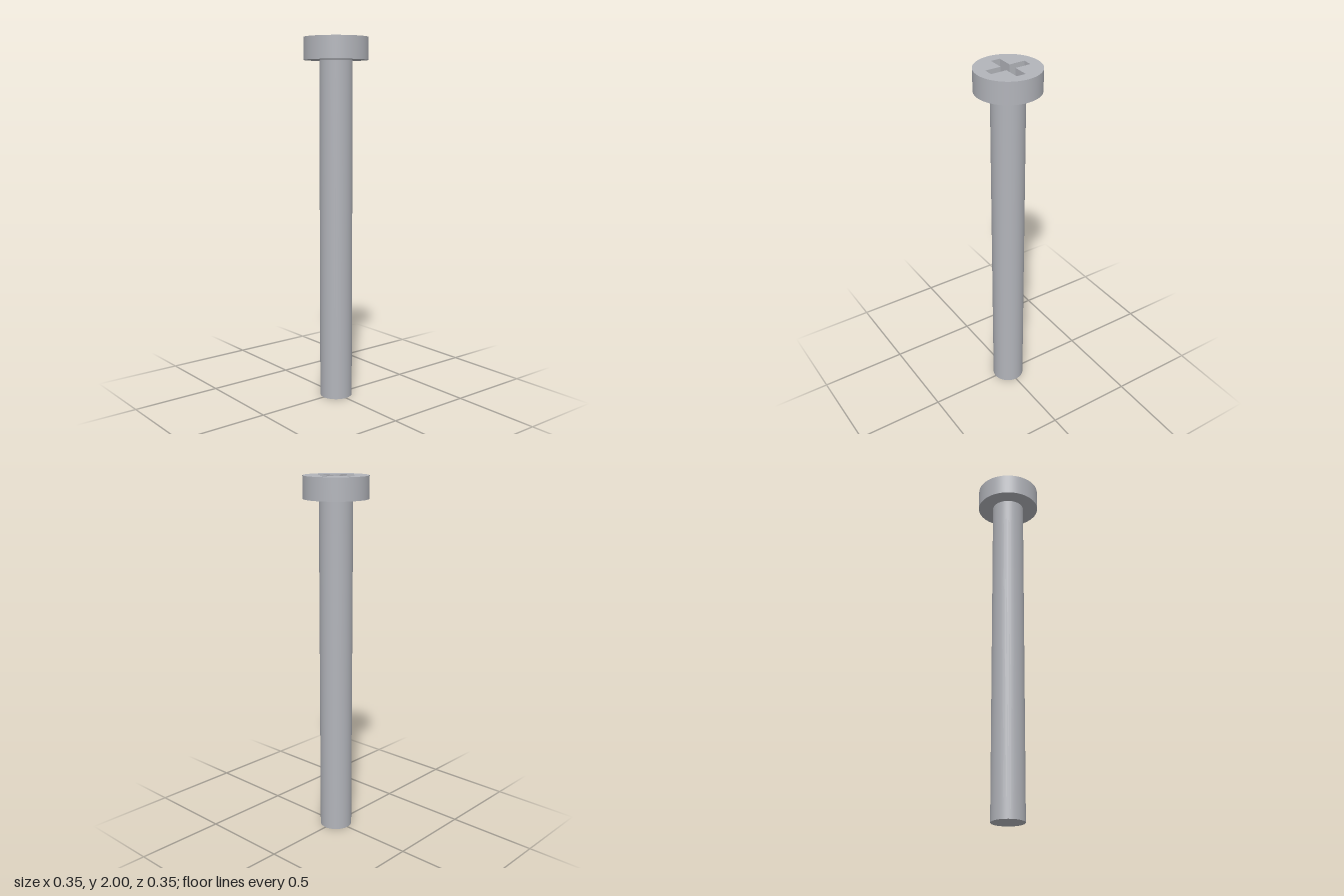
import * as THREE from 'three';

const SEGMENTS = 64;
const HEIGHT = 2, HEAD_BASE = 1.88;
const HEAD_RADIUS = 0.175, SHAFT_RADIUS = 0.09;
const ARM = 0.114, HALF_WIDTH = 0.026, RECESS_DEPTH = 0.065;

// Counter-clockwise outline of the cross recess: three corners per quarter turn
function crossOutline() {
  const corners = [[ARM, -HALF_WIDTH], [ARM, HALF_WIDTH], [HALF_WIDTH, HALF_WIDTH]];
  const points = [];
  for (let i = 0; i < 4; i++) {
    for (const [x, y] of corners) {
      points.push(new THREE.Vector2(x, y).rotateAround(new THREE.Vector2(), i * Math.PI / 2));
    }
  }
  return points;
}

// Inward-facing walls below an outline
function recessWalls(outline, depth) {
  const positions = [];
  outline.forEach((a, i) => {
    const b = outline[(i + 1) % outline.length];
    positions.push(a.x, a.y, -depth, b.x, b.y, 0, b.x, b.y, -depth);
    positions.push(a.x, a.y, -depth, a.x, a.y, 0, b.x, b.y, 0);
  });
  const geometry = new THREE.BufferGeometry();
  geometry.setAttribute('position', new THREE.Float32BufferAttribute(positions, 3));
  geometry.computeVertexNormals();
  return geometry;
}

export function createModel() {
  const steel = new THREE.MeshStandardMaterial({ color: 0xb2b4ba });
  steel.name = 'steel';

  const screw = new THREE.Group();
  screw.name = 'screw';
  const head = new THREE.Group();
  head.name = 'head';
  screw.add(head);

  const add = (parent, name, geometry, y) => {
    const mesh = new THREE.Mesh(geometry, steel);
    mesh.name = name;
    mesh.position.y = y;
    parent.add(mesh);
  };

  // Plain round shaft
  add(screw, 'shaft', new THREE.CylinderGeometry(SHAFT_RADIUS, SHAFT_RADIUS, HEAD_BASE, SEGMENTS), HEAD_BASE / 2);

  // Head side and underside
  const headHeight = HEIGHT - HEAD_BASE;
  add(head, 'headSide',
    new THREE.CylinderGeometry(HEAD_RADIUS, HEAD_RADIUS, headHeight, SEGMENTS, 1, true),
    HEAD_BASE + headHeight / 2);
  add(head, 'headUnderside',
    new THREE.RingGeometry(SHAFT_RADIUS, HEAD_RADIUS, SEGMENTS).rotateX(Math.PI / 2), HEAD_BASE);

  // Head top with the cross cut out
  const outline = crossOutline();
  const top = new THREE.Shape().absarc(0, 0, HEAD_RADIUS, 0, Math.PI * 2, false);
  top.holes.push(new THREE.Path(outline));
  const layFlat = (geometry) => geometry.rotateX(-Math.PI / 2);
  add(head, 'headTop', layFlat(new THREE.ShapeGeometry(top, SEGMENTS)), HEIGHT);

  // Cross recess
  add(head, 'recessWalls', layFlat(recessWalls(outline, RECESS_DEPTH)), HEIGHT);
  add(head, 'recessFloor', layFlat(new THREE.ShapeGeometry(new THREE.Shape(outline))), HEIGHT - RECESS_DEPTH);

  return screw;
}
